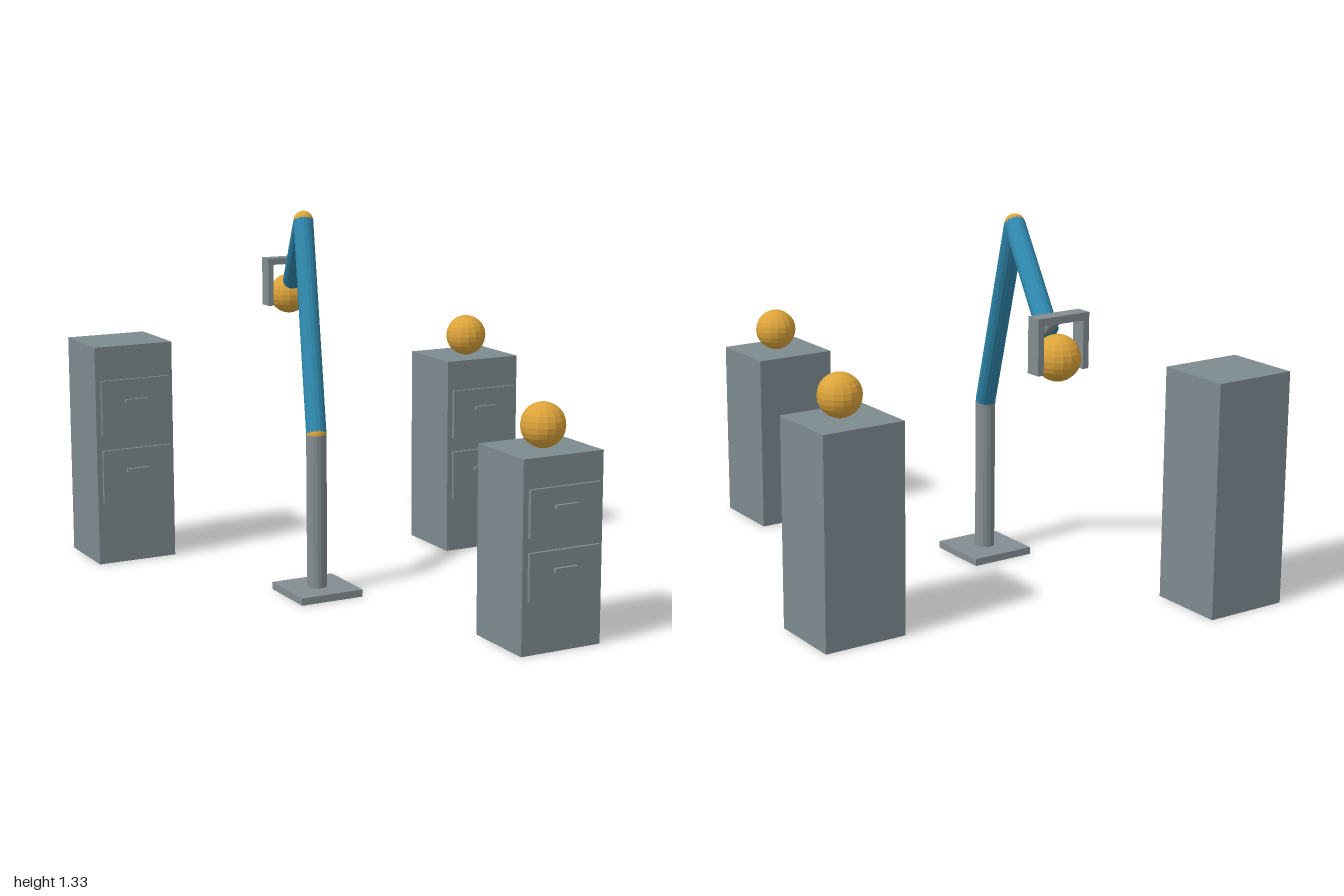
import * as THREE from 'three';

const paint = (name, color, flatShading = true) => {
  const m = new THREE.MeshStandardMaterial({ color, flatShading });
  m.name = name;
  return m;
};

export function createModel() {
  const root = new THREE.Group();
  root.name = 'robotArmAndCabinets';

  const cabinetGrey = paint('cabinet grey', 0x7c8a8f);
  const metal = paint('metal grey', 0x838d91);
  const blue = paint('arm blue', 0x2e86ab);
  const gold = paint('gold', 0xdba33a);

  const add = (parent, name, geometry, material, x, y, z) => {
    const mesh = new THREE.Mesh(geometry, material);
    mesh.name = name;
    mesh.position.set(x, y, z);
    parent.add(mesh);
    return mesh;
  };
  const box = (parent, name, mat, w, h, d, x, y, z) =>
    add(parent, name, new THREE.BoxGeometry(w, h, d), mat, x, y, z);
  const ball = (parent, name, r, p) =>
    add(parent, name, new THREE.SphereGeometry(r, 16, 12), gold, p.x, p.y, p.z);

  // Round bar between two points
  const rod = (parent, name, mat, a, b, r) => {
    const dir = b.clone().sub(a);
    const mid = a.clone().add(b).multiplyScalar(0.5);
    const mesh = add(parent, name, new THREE.CylinderGeometry(r, r, dir.length(), 16), mat, mid.x, mid.y, mid.z);
    mesh.quaternion.setFromUnitVectors(new THREE.Vector3(0, 1, 0), dir.normalize());
    return mesh;
  };

  // Filing cabinets: [centre x, centre z, height, has a ball on top]
  const W = 0.305, D = 0.277;
  const cabinets = [
    [-0.624, -0.861, 0.823, false],
    [0.618, -0.41, 0.737, true],
    [0.166, 0.832, 0.652, true],
  ];
  for (const [x, z, h, hasBall] of cabinets) {
    const cabinet = new THREE.Group();
    cabinet.name = 'cabinet';
    cabinet.position.set(x, 0, z);
    root.add(cabinet);
    box(cabinet, 'cabinetBody', cabinetGrey, W, h, D, 0, h / 2, 0);
    for (const level of [0.405, 0.725]) {
      box(cabinet, 'drawerFront', cabinetGrey, 0.269, 0.247 * h, 0.012, 0, level * h, D / 2 + 0.01);
      box(cabinet, 'drawerHandle', cabinetGrey, 0.087, 0.013, 0.014, 0, (level + 0.025) * h, D / 2 + 0.022);
    }
    if (hasBall) ball(cabinet, 'restingBall', 0.076, new THREE.Vector3(0, h + 0.075, 0.013));
  }

  // Robot arm joints
  const foot = new THREE.Vector3(-0.23, 0.026, 0);
  const shoulder = new THREE.Vector3(-0.23, 0.578, 0);
  const elbow = new THREE.Vector3(-0.1, 1.292, -0.353);
  const wrist = new THREE.Vector3(0.044, 1.019, -0.742);
  const grip = new THREE.Vector3(0.079, 1.085, -0.848);

  const arm = new THREE.Group();
  arm.name = 'robotArm';
  root.add(arm);
  box(arm, 'basePlate', metal, 0.24, 0.026, 0.24, foot.x, 0.013, 0);
  rod(arm, 'post', metal, foot, shoulder, 0.036);
  ball(arm, 'shoulderJoint', 0.036, shoulder);
  rod(arm, 'upperArm', blue, shoulder, elbow, 0.036);
  ball(arm, 'elbowJoint', 0.036, elbow);
  rod(arm, 'forearm', blue, elbow, wrist, 0.036);
  rod(arm, 'wristRod', metal, wrist, grip, 0.015);

  // Gripper: crossbar with two fingers around the held ball
  const gripper = new THREE.Group();
  gripper.name = 'gripper';
  gripper.position.copy(grip);
  arm.add(gripper);
  box(gripper, 'crossbar', metal, 0.198, 0.025, 0.055, 0, 0, 0);
  for (const side of [-1, 1]) {
    box(gripper, 'finger', metal, 0.022, 0.16, 0.055, side * 0.088, -0.0915, 0);
  }
  ball(arm, 'heldBall', 0.076, new THREE.Vector3(0.079, 0.955, -0.844));

  return root;
}
